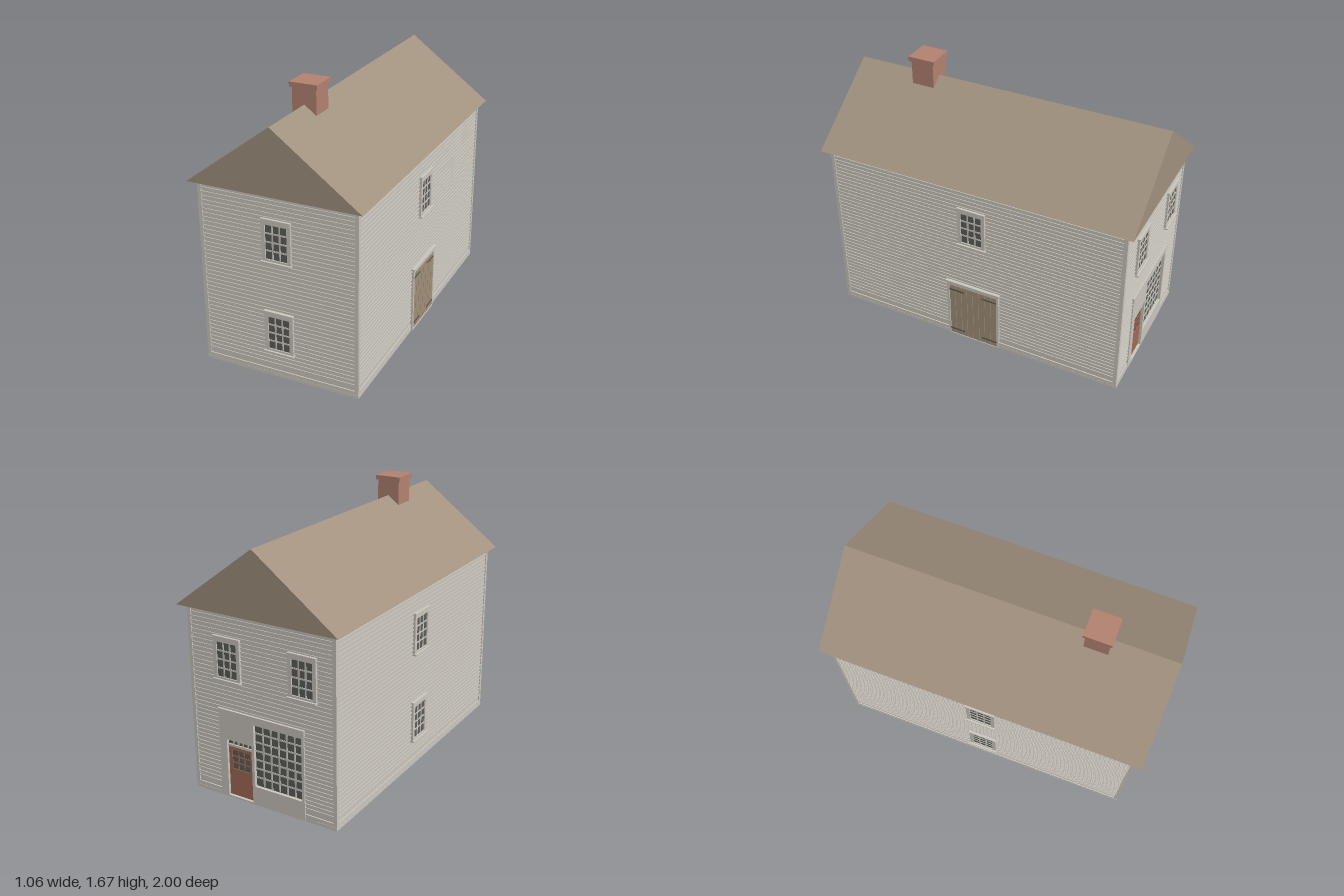
import * as THREE from 'three';

const mat = (name, color) => new THREE.MeshStandardMaterial({ name, color });

export function createModel() {
  const M = {
    paint: mat('paintedWood', 0xcbc7be),
    roof: mat('roofShingle', 0xa1917e),
    wood: mat('plankWood', 0xa2907a),
    glass: mat('darkGlass', 0x5c5e5a),
    brick: mat('brick', 0xb38271),
    red: mat('redDoorPaint', 0xa36a56),
    iron: mat('iron', 0x5e5a52),
  };
  M.paint.side = THREE.DoubleSide; // the walls are an open shell
  const house = new THREE.Group();
  house.name = 'house';

  const W = 0.483, L = 0.952, EAVE = 1.15, RIDGE = 1.545;

  // box given by its limits
  const box = (parent, name, material, x0, x1, y0, y1, z0, z1) => {
    const m = new THREE.Mesh(new THREE.BoxGeometry(x1 - x0, y1 - y0, z1 - z0), material);
    m.position.set((x0 + x1) / 2, (y0 + y1) / 2, (z0 + z1) / 2);
    m.name = name;
    parent.add(m);
    return m;
  };

  const rect = (C, x0, x1, y0, y1) => {
    const p = new C();
    p.moveTo(x0, y0);
    p.lineTo(x1, y0);
    p.lineTo(x1, y1);
    p.lineTo(x0, y1);
    p.closePath();
    return p;
  };

  // horizontal board along a wall, interrupted by an opening [x0, x1, top]
  const run = (parent, name, half, y0, y1, z, gap) => {
    if (gap && y0 < gap[2]) {
      box(parent, name, M.paint, -half, gap[0], y0, y1, 0, z);
      box(parent, name, M.paint, gap[1], half, y0, y1, 0, z);
    } else box(parent, name, M.paint, -half, half, y0, y1, 0, z);
  };

  // wall with its own frame: x to the right, y up, z outwards
  const wall = (name, angle, dist, half, gap) => {
    const g = new THREE.Group();
    g.name = name;
    g.rotation.y = angle;
    g.position.set(Math.sin(angle) * dist, 0, Math.cos(angle) * dist);
    house.add(g);
    const shape = rect(THREE.Shape, -half, half, 0, EAVE);
    if (gap) shape.holes.push(rect(THREE.Path, gap[0], gap[1], 0.005, gap[2]));
    const sheet = new THREE.Mesh(new THREE.ShapeGeometry(shape), M.paint);
    sheet.name = 'wallSheet';
    g.add(sheet);
    // base skirt, corner boards and siding strips
    run(g, 'baseSkirt', half + 0.008, 0, 0.02, 0.008, gap);
    run(g, 'baseSkirt', half + 0.006, 0.02, 0.043, 0.007, gap);
    for (const s of [-1, 1]) {
      const c = box(g, 'cornerBoard', M.paint, -0.0115, 0.0115, 0.043, EAVE, 0, 0.007);
      c.position.x = s * (half - 0.0045);
    }
    for (let i = 0; i < 41; i++) {
      const y = 0.08 + i * 0.0257;
      run(g, 'sidingStrip', half - 0.013, y - 0.0045, y + 0.0045, 0.005, gap);
    }
    return g;
  };
  const front = wall('frontWall', 0, L, W);
  const back = wall('backWall', Math.PI, L, W, [-0.29, 0.274, 0.545]);
  const left = wall('leftWall', Math.PI / 2, W, L);
  const right = wall('rightWall', -Math.PI / 2, W, L);

  // glass with a grid of glazing bars
  const glazing = (parent, x0, x1, y0, y1, cols, rows, z, bar, barMat) => {
    box(parent, 'glass', M.glass, x0, x1, y0, y1, z - 0.004, z);
    for (let i = 1; i < cols; i++) {
      const x = x0 + (x1 - x0) * i / cols;
      box(parent, 'glazingBar', barMat, x - bar / 2, x + bar / 2, y0, y1, z - 0.002, z + 0.003);
    }
    for (let j = 1; j < rows; j++) {
      const y = y0 + (y1 - y0) * j / rows;
      box(parent, 'glazingBar', barMat, x0, x1, y - bar / 2, y + bar / 2, z - 0.002, z + 0.003);
    }
  };

  // flat board from z0 to z1 with rectangular openings
  const pierced = (parent, name, material, outer, holes, z0, z1) => {
    const shape = rect(THREE.Shape, ...outer);
    for (const h of holes) shape.holes.push(rect(THREE.Path, ...h));
    const g = new THREE.ExtrudeGeometry(shape, { depth: z1 - z0, bevelEnabled: false });
    const m = new THREE.Mesh(g.translate(0, 0, z0), material);
    m.name = name;
    parent.add(m);
  };

  // sash window with sill and cap
  const sashWindow = (parent, x, y) => {
    const g = new THREE.Group();
    g.name = 'window';
    g.position.set(x, y, 0);
    parent.add(g);
    const pane = [-0.067, 0.067, 0.017, 0.226];
    pierced(g, 'windowFrame', M.paint, [-0.09, 0.09, 0.005, 0.255], [pane], 0, 0.016);
    box(g, 'windowCap', M.paint, -0.092, 0.092, 0.253, 0.261, 0, 0.02);
    box(g, 'windowSill', M.paint, -0.094, 0.094, -0.004, 0.005, 0, 0.028);
    glazing(g, ...pane, 3, 4, 0.009, 0.009, M.paint);
  };
  const UP = 0.742, LOW = 0.168;
  for (const w of [front, right]) for (const y of [UP, LOW]) sashWindow(w, 0, y);
  sashWindow(left, 0, UP);
  sashWindow(back, -0.22, UP);
  sashWindow(back, 0.28, UP);

  // double plank door
  const barn = new THREE.Group();
  barn.name = 'doubleDoor';
  left.add(barn);
  pierced(barn, 'doorFrame', M.paint, [-0.178, 0.178, 0, 0.425], [[-0.162, 0.162, 0.008, 0.4]], 0, 0.016);
  box(barn, 'doorCap', M.paint, -0.184, 0.184, 0.425, 0.434, 0, 0.024);
  box(barn, 'doorBacking', M.wood, -0.162, 0.162, 0.008, 0.4, 0, 0.0085);
  for (let i = 0; i < 8; i++) {
    const x = -0.162 + i * 0.0405;
    box(barn, 'doorPlank', M.wood, x + 0.0015, x + 0.039, 0.008, 0.4, 0, 0.0125);
  }
  for (const s of [-1, 1]) for (const y of [0.045, 0.365]) {
    const h = box(barn, 'strapHinge', M.iron, -0.05, 0.05, y - 0.005, y + 0.005, 0.01, 0.016);
    h.position.x = s * 0.112;
  }

  // shopfront: flat panel with recessed door and display window
  const shop = new THREE.Group();
  shop.name = 'shopfront';
  back.add(shop);
  const doorway = [-0.248, -0.075, 0.012, 0.372], display = [-0.057, 0.265, 0.12, 0.508];
  pierced(shop, 'shopPanel', M.paint, [-0.298, 0.282, 0, 0.55], [doorway, display], -0.016, 0.01);
  box(shop, 'shopCap', M.paint, -0.302, 0.286, 0.53, 0.56, 0, 0.014);
  glazing(shop, ...display, 6, 7, -0.009, 0.01, M.paint);

  // shop door with glazed upper half and transom light
  const doorGlass = [-0.224, -0.099, 0.185, 0.305];
  glazing(shop, -0.248, -0.075, 0.342, 0.372, 5, 1, -0.009, 0.009, M.paint);
  box(shop, 'transomBar', M.paint, -0.248, -0.075, 0.328, 0.342, -0.014, 0);
  pierced(shop, 'shopDoor', M.red, [-0.248, -0.075, 0.012, 0.328], [doorGlass], -0.015, -0.006);
  glazing(shop, ...doorGlass, 3, 3, -0.01, 0.007, M.red);

  // gabled roof
  const tri = new THREE.Shape();
  tri.moveTo(-0.53, EAVE);
  tri.lineTo(0.53, EAVE);
  tri.lineTo(0, RIDGE);
  tri.closePath();
  const roof = new THREE.Mesh(
    new THREE.ExtrudeGeometry(tri, { depth: 2, bevelEnabled: false }).translate(0, 0, -1), M.roof);
  roof.name = 'roof';
  house.add(roof);

  // chimney
  box(house, 'chimney', M.brick, -0.074, 0.074, 1.4, 1.64, 0.463, 0.607);
  box(house, 'chimneyCap', M.brick, -0.085, 0.085, 1.64, 1.668, 0.45, 0.62);

  return house;
}
